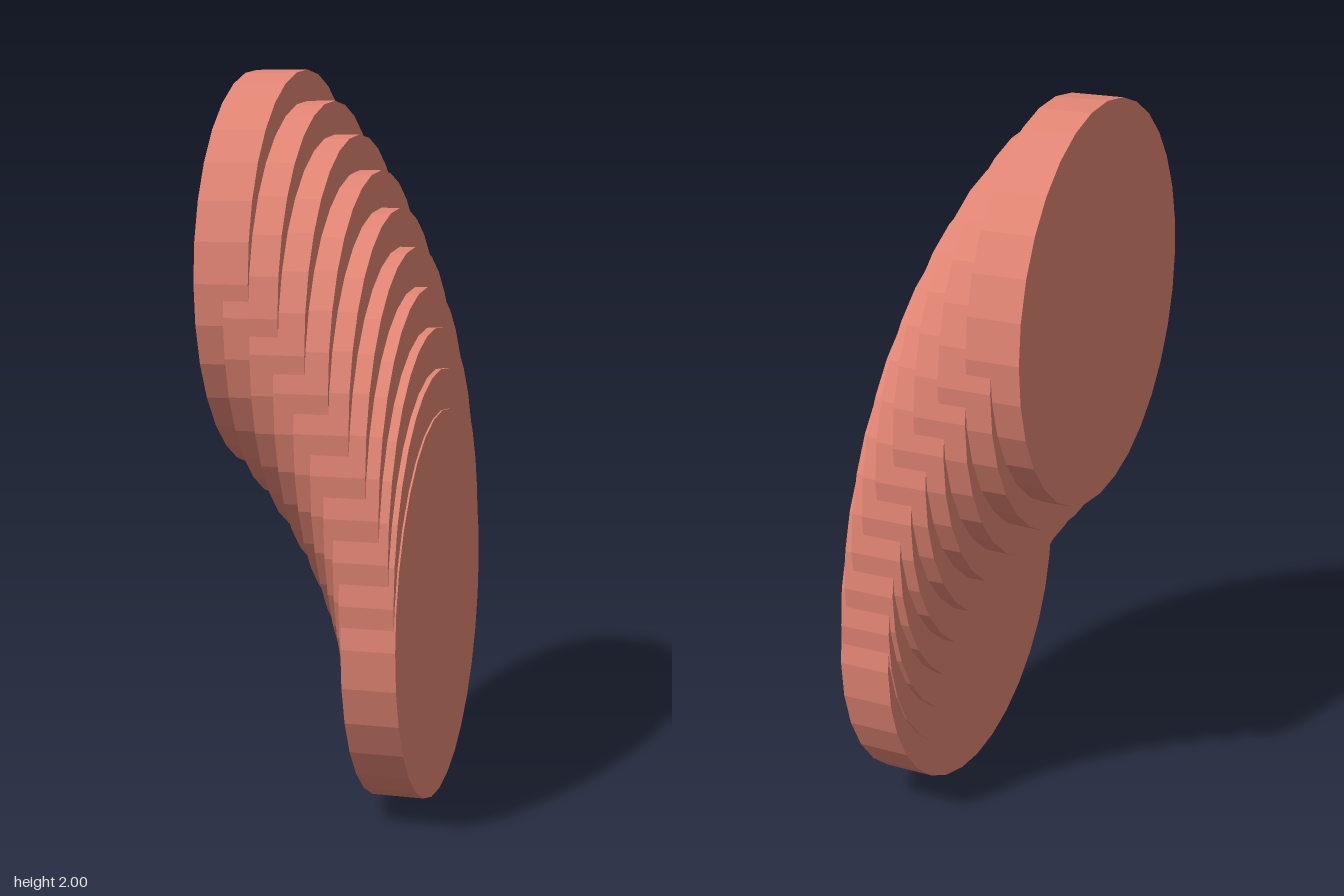
import * as THREE from 'three';

const COUNT = 10;          // discs in the stack
const DISC_RADIUS = 0.54;
const THICKNESS = 0.143;
const ARC_RADIUS = 1.3;    // arc followed by the disc centres
const ARC_STEP = THREE.MathUtils.degToRad(5);

export function createModel() {
  const model = new THREE.Group();
  model.name = 'steppedDiscArc';
  const material = new THREE.MeshStandardMaterial({ color: 0xe08473, flatShading: true });

  // Upright disc with its axis along x
  const geometry = new THREE.CylinderGeometry(DISC_RADIUS, DISC_RADIUS, THICKNESS, 32);
  geometry.rotateZ(Math.PI / 2);

  // Discs climb a 45 degree arc, leaning towards -x as they rise
  for (let i = 0; i < COUNT; i++) {
    const angle = i * ARC_STEP;
    const disc = new THREE.Mesh(geometry, material);
    disc.name = `disc${i + 1}`;
    disc.position.set(
      0.19 - ARC_RADIUS * (1 - Math.cos(angle)),
      DISC_RADIUS + ARC_RADIUS * Math.sin(angle),
      0
    );
    model.add(disc);
  }
  return model;
}
